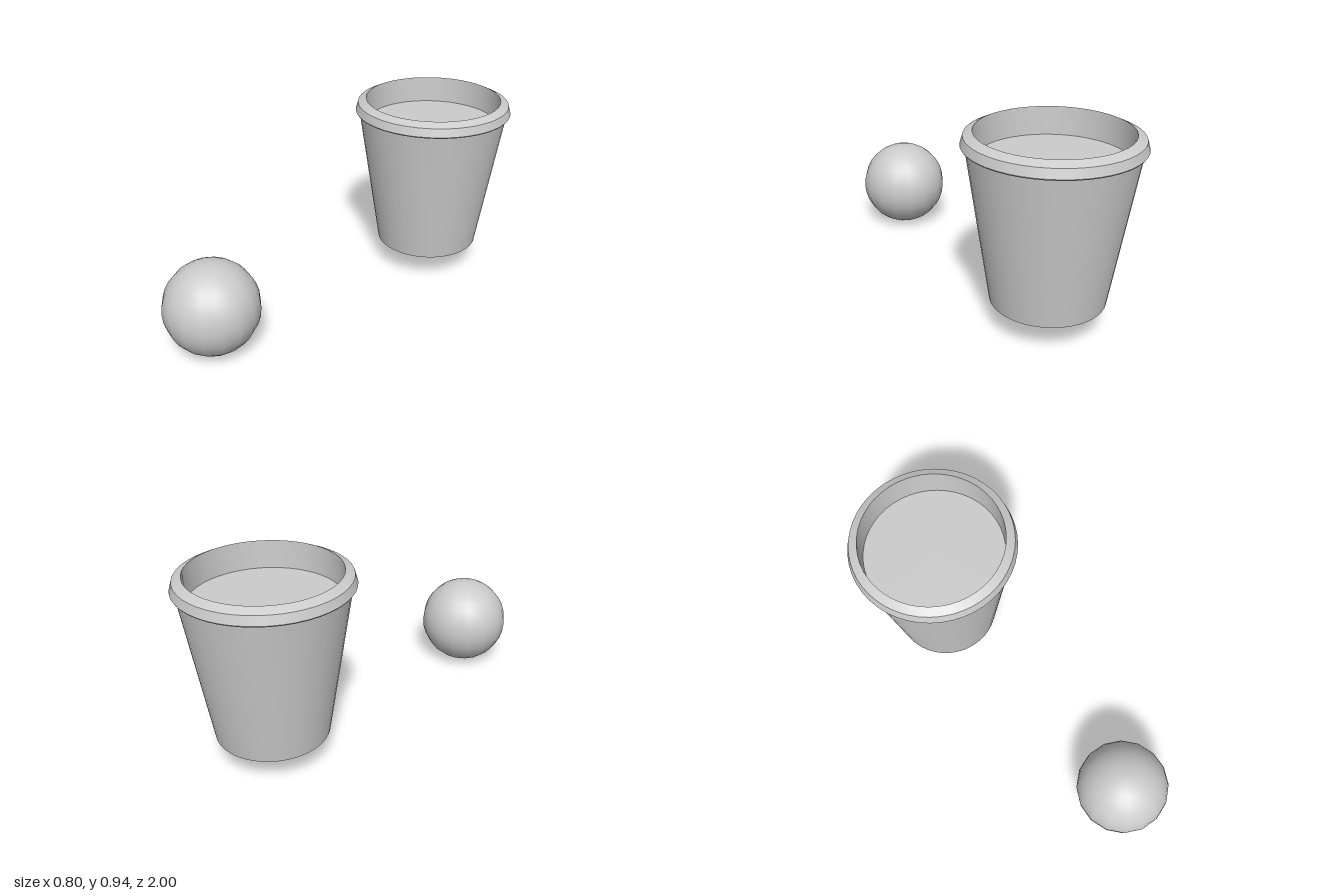
import * as THREE from 'three';
import { toCreasedNormals } from 'three/addons/utils/BufferGeometryUtils.js';

const SEGMENTS = 48;
const material = new THREE.MeshStandardMaterial({ color: 0xcccccc });

function addMesh(parent, name, geometry) {
  const mesh = new THREE.Mesh(geometry, material);
  mesh.name = name;
  parent.add(mesh);
  return mesh;
}

// Turned part from [radius, height] pairs, with sharp profile corners
function turned(profile) {
  const points = profile.map(([r, y]) => new THREE.Vector2(r, y));
  return toCreasedNormals(new THREE.LatheGeometry(points, SEGMENTS), 0.3);
}

export function createModel() {
  const model = new THREE.Group();

  // Tapered cup
  const cup = new THREE.Group();
  cup.name = 'cup';
  cup.position.z = -0.6;
  model.add(cup);
  addMesh(cup, 'cupBody', turned([[0.268, 0.14], [0.381, 0.873]]));

  const base = addMesh(cup, 'cupBase', new THREE.CircleGeometry(0.268, SEGMENTS));
  base.rotation.x = Math.PI / 2;
  base.position.y = 0.14;

  // Bevelled lid ring: underside, outer skirt, top bevel and inner wall
  addMesh(cup, 'lidRim', turned([
    [0.379, 0.873], [0.396, 0.873], [0.4, 0.879], [0.388, 0.92],
    [0.346, 0.94], [0.341, 0.805],
  ]));

  // Recessed lid panel
  const panel = addMesh(cup, 'lidPanel', new THREE.CircleGeometry(0.341, SEGMENTS));
  panel.rotation.x = -Math.PI / 2;
  panel.position.y = 0.805;

  // Ball in front of the cup
  const ball = addMesh(model, 'ball', new THREE.SphereGeometry(0.23, 16, 16));
  ball.position.set(-0.08, 0.23, 0.77);

  return model;
}
